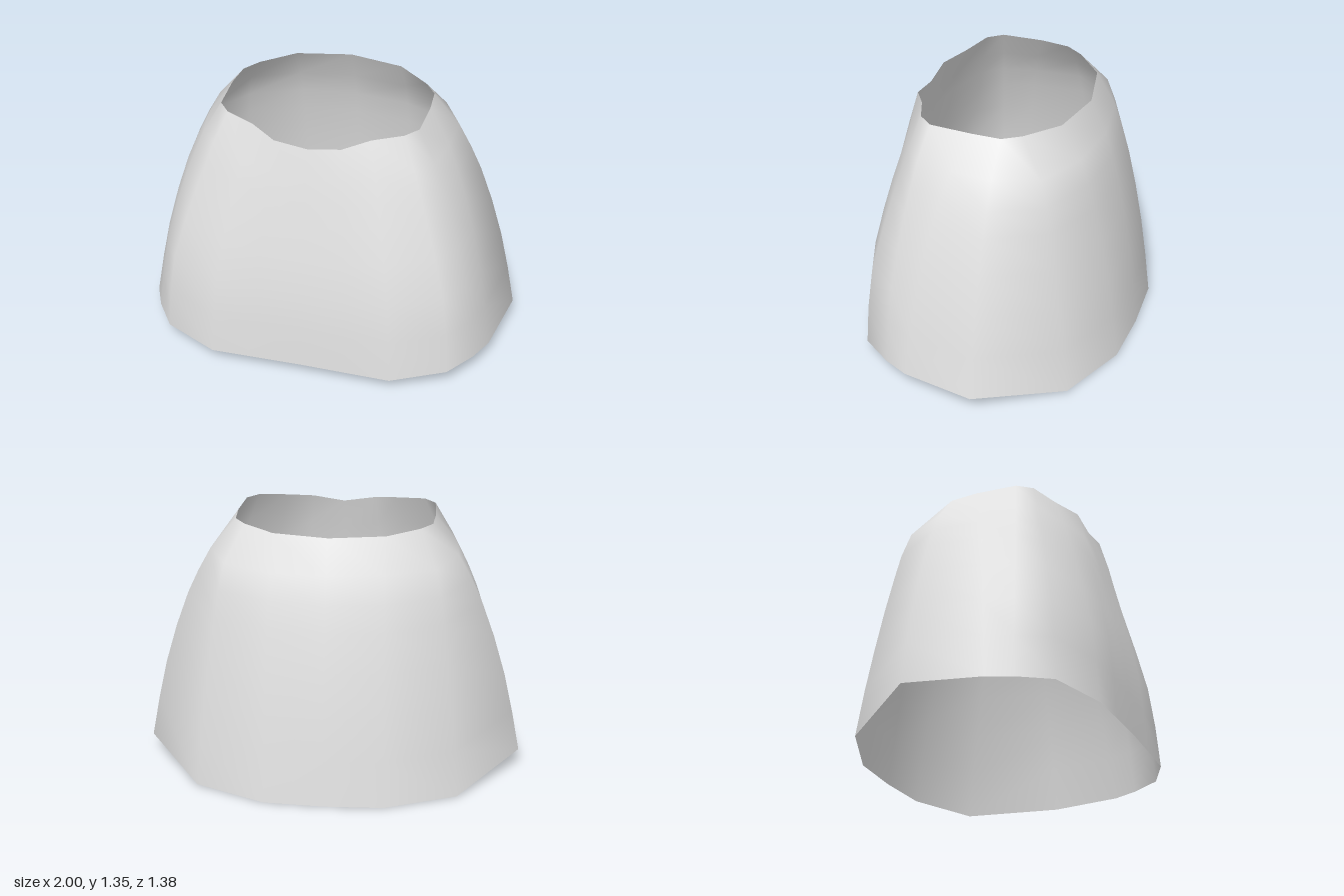
import * as THREE from 'three';

// Half outlines from front centre round the left side to back centre.
// Hem: [x, y, z, profile], where profile 0 is front, 1 is side, 2 is the fuller back corner
const hem = [
  [0, 0.075, 0.69, 0], [0.24, 0.07, 0.688, 0.1], [0.48, 0.065, 0.685, 0.3], [0.76, 0.09, 0.57, 0.1],
  [0.87, 0.087, 0.41, 0.6], [0.93, 0.085, 0.28, 1], [1, 0.09, -0.11, 1], [0.68, 0.005, -0.52, 2],
  [0.31, 0, -0.675, 1.2], [0, 0, -0.69, 1],
];
// Collar: [x, y, z]
const collar = [
  [0, 1.28, 0.485], [0.17, 1.305, 0.485], [0.3, 1.33, 0.405], [0.45, 1.345, 0.345], [0.51, 1.345, 0.27],
  [0.52, 1.345, 0.05], [0.51, 1.34, -0.1], [0.45, 1.34, -0.19], [0.285, 1.34, -0.335], [0, 1.34, -0.395],
];

// [height fraction, inward fraction for the front, side and back corner profiles]
const levels = [
  [0, 0, 0, 0], [0.18, 0.05, 0.09, 0.09], [0.35, 0.14, 0.19, 0.19], [0.52, 0.33, 0.32, 0.3],
  [0.67, 0.52, 0.46, 0.41], [0.77, 0.66, 0.58, 0.49], [0.87, 0.79, 0.72, 0.61], [1, 1, 1, 1],
];

// Mirror a half outline into a closed ring
function closeRing(half) {
  const mirrored = half.slice(1, -1).reverse().map(([x, ...rest]) => [-x, ...rest]);
  return [...half, ...mirrored];
}

// Open shell lofted between hem and collar, with a rounded shoulder
function shellGeometry() {
  const { lerp } = THREE.MathUtils;
  const low = closeRing(hem), high = closeRing(collar), n = low.length;
  const position = [], index = [];
  levels.forEach(([h, front, side, corner], i) => {
    for (let j = 0; j < n; j++) {
      const [x0, y0, z0, profile] = low[j], [x1, y1, z1] = high[j];
      const inward = profile <= 1 ? lerp(front, side, profile) : lerp(side, corner, profile - 1);
      position.push(lerp(x0, x1, inward), lerp(y0, y1, h), lerp(z0, z1, inward));
      if (i < levels.length - 1) {
        const a = i * n + j, b = i * n + (j + 1) % n;
        index.push(a, b, a + n, b, b + n, a + n);
      }
    }
  });
  const geometry = new THREE.BufferGeometry();
  geometry.setAttribute('position', new THREE.Float32BufferAttribute(position, 3));
  geometry.setIndex(index);
  geometry.computeVertexNormals();
  return geometry;
}

export function createModel() {
  const model = new THREE.Group();
  model.name = 'openShell';
  const cloth = new THREE.MeshStandardMaterial({ color: 0xe2e2e2, side: THREE.DoubleSide });
  cloth.name = 'light grey';
  const shell = new THREE.Mesh(shellGeometry(), cloth);
  shell.name = 'shell';
  model.add(shell);
  return model;
}
